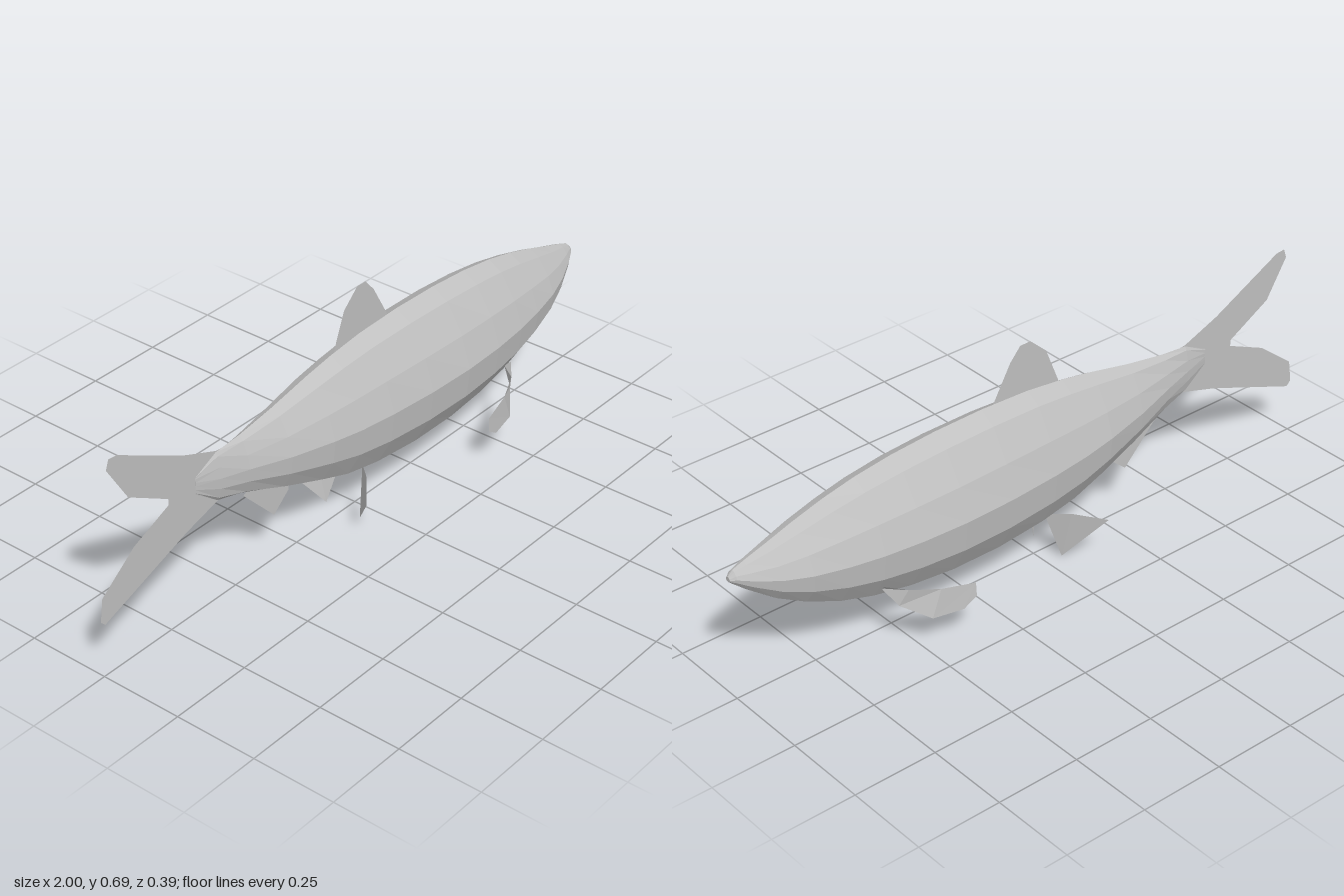
import * as THREE from 'three';

// Body stations: x, belly height, back height, half width
const STATIONS = [
  [-0.64, 0.365, 0.415, 0.001], [-0.56, 0.305, 0.453, 0.017], [-0.47, 0.28, 0.46, 0.038],
  [-0.34, 0.228, 0.48, 0.07], [-0.2, 0.177, 0.508, 0.098], [-0.1, 0.142, 0.524, 0.11],
  [0.02, 0.12, 0.537, 0.122], [0.18, 0.107, 0.542, 0.132], [0.34, 0.109, 0.538, 0.136],
  [0.48, 0.123, 0.527, 0.132], [0.6, 0.145, 0.51, 0.122], [0.7, 0.175, 0.488, 0.108],
  [0.8, 0.22, 0.459, 0.09], [0.88, 0.267, 0.432, 0.066], [0.95, 0.322, 0.41, 0.038],
  [0.985, 0.353, 0.397, 0.02], [1.0, 0.367, 0.382, 0.009],
];

// Half cross-section from back to belly: width fraction, height fraction
const SECTION = [[0, 1], [0.37, 0.93], [0.77, 0.72], [1, 0.5], [0.92, 0.283], [0.53, 0.076], [0, 0]];

function meshFrom(name, points, index, material) {
  const g = new THREE.BufferGeometry();
  g.setAttribute('position', new THREE.Float32BufferAttribute(points.flat(), 3));
  g.setIndex(index);
  const flat = g.toNonIndexed();
  flat.computeVertexNormals();
  const mesh = new THREE.Mesh(flat, material);
  mesh.name = name;
  return mesh;
}

// Lofted twelve-sided body with closed ends
function makeBody(material) {
  const ring = [...SECTION, ...SECTION.slice(1, -1).reverse().map(([w, h]) => [-w, h])];
  const n = ring.length, points = [], index = [];
  for (const [x, low, high, half] of STATIONS) {
    for (const [w, h] of ring) points.push([x, low + (high - low) * h, half * w]);
  }
  for (let i = 0; i < STATIONS.length - 1; i++) {
    for (let k = 0; k < n; k++) {
      const a = i * n + k, d = i * n + (k + 1) % n;
      index.push(a, d + n, a + n, a, d, d + n);
    }
  }
  const last = (STATIONS.length - 1) * n;
  for (let k = 1; k < n - 1; k++) {
    index.push(0, k + 1, k);
    index.push(last, last + k, last + k + 1);
  }
  return meshFrom('body', points, index, material);
}

// Thin fin lying in the middle plane
function flatFin(name, outline, material) {
  const shape = new THREE.Shape(outline.map(([x, y]) => new THREE.Vector2(x, y)));
  const mesh = new THREE.Mesh(new THREE.ShapeGeometry(shape), material);
  mesh.name = name;
  return mesh;
}

// Curved strip between two edges with the same number of points
function stripFin(name, upper, lower, side, material) {
  const points = [], index = [];
  upper.forEach((p, i) => {
    for (const [x, y, z] of [p, lower[i]]) points.push([x, y, z * side]);
    if (i) {
      const b = i * 2;
      index.push(b - 2, b - 1, b, b, b - 1, b + 1);
    }
  });
  return meshFrom(name, points, index, material);
}

export function createModel() {
  const group = new THREE.Group();
  group.name = 'fish';
  const grey = new THREE.MeshStandardMaterial({ color: 0xc0c0c0, flatShading: true, side: THREE.DoubleSide });
  grey.name = 'grey';

  group.add(makeBody(grey));

  group.add(flatFin('tailFin', [
    [-0.5, 0.45], [-0.56, 0.457], [-0.68, 0.505], [-0.91, 0.625], [-0.94, 0.628], [-0.95, 0.6],
    [-0.88, 0.485], [-0.74, 0.405], [-0.74, 0.386], [-0.87, 0.33], [-0.99, 0.238], [-1, 0.17],
    [-0.985, 0.155], [-0.68, 0.268], [-0.56, 0.303], [-0.5, 0.31],
  ], grey));
  group.add(flatFin('dorsalFin', [
    [-0.08, 0.5], [-0.09, 0.523], [-0.045, 0.635], [0.01, 0.685], [0.045, 0.685], [0.08, 0.645],
    [0.14, 0.54], [0.13, 0.51],
  ], grey));
  group.add(flatFin('analFin', [
    [-0.46, 0.265], [-0.34, 0.14], [-0.28, 0.19], [-0.28, 0.225], [-0.43, 0.28],
  ], grey));

  // Paired fins, mirrored across the middle plane
  for (const [prefix, side] of [['right', 1], ['left', -1]]) {
    group.add(stripFin(prefix + 'PectoralFin',
      [[0.59, 0.213, 0.097], [0.54, 0.2, 0.135], [0.46, 0.186, 0.17], [0.36, 0.171, 0.19]],
      [[0.585, 0.195, 0.077], [0.56, 0.15, 0.118], [0.49, 0.105, 0.17], [0.4, 0.103, 0.188]],
      side, grey));
    group.add(stripFin(prefix + 'PectoralFinTip',
      [[0.36, 0.171, 0.19], [0.36, 0.13, 0.193]],
      [[0.4, 0.103, 0.188], [0.4, 0.103, 0.188]], side, grey));
    const pelvic = [[-0.01, 0.145, 0.035], [-0.06, 0.152, 0.09], [-0.14, 0.13, 0.155], [-0.052, 0, 0.06]]
      .map(([x, y, z]) => [x, y, z * side]);
    group.add(meshFrom(prefix + 'PelvicFin', pelvic, [0, 1, 3, 1, 2, 3], grey));
  }
  return group;
}
